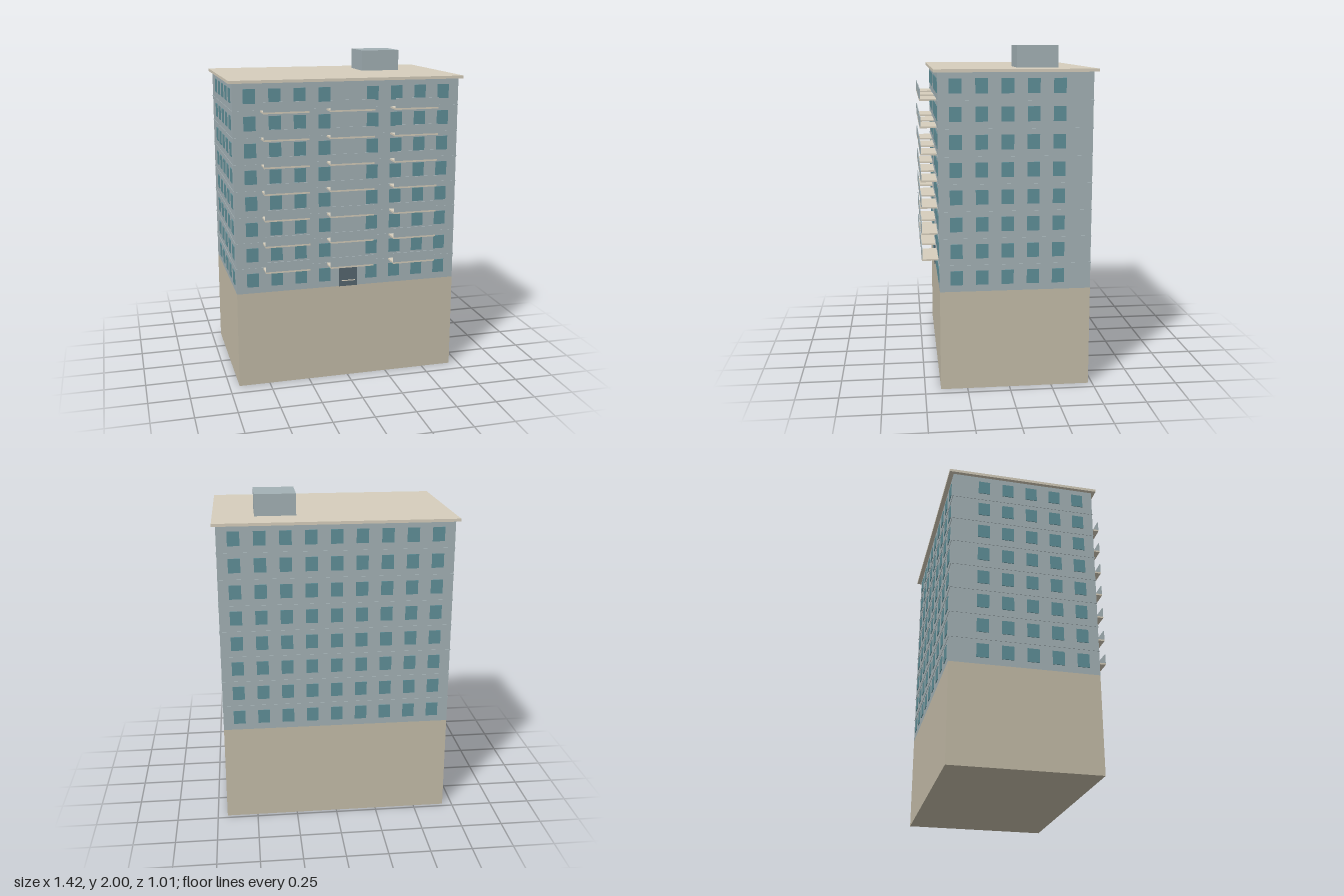
import * as THREE from 'three';

const mat = (color) => new THREE.MeshStandardMaterial({ color });
const M = {
  wall: mat(0xa3b1b5), stone: mat(0xc4bca8), roof: mat(0xd6cebc),
  glass: mat(0x5f8f98), door: mat(0x566770),
};

// Main dimensions
const W = 1.38, FRONT = 0.407, BACK = -0.476;
const D = FRONT - BACK, CZ = (FRONT + BACK) / 2;
const BASE = 0.595, FLOORS = 8, FLOOR_H = 0.1575, TOP = BASE + FLOORS * FLOOR_H;
const PITCH = 0.148, WIN_W = 0.071, WIN_H = 0.084, PROUD = 0.004;

// Box given by its size and the centre of its bottom face
function box(parent, name, material, w, h, d, x, y, z) {
  const mesh = new THREE.Mesh(new THREE.BoxGeometry(w, h, d), material);
  mesh.name = name;
  mesh.position.set(x, y + h / 2, z);
  parent.add(mesh);
  return mesh;
}

function group(parent, name) {
  const g = new THREE.Group();
  g.name = name;
  parent.add(g);
  return g;
}

export function createModel() {
  const model = new THREE.Group();
  model.name = 'apartmentBlock';

  // Plinth, walls, roof slab and rooftop hut
  box(model, 'plinth', M.stone, W, BASE, D, 0, 0, CZ);
  box(model, 'walls', M.wall, W, TOP - BASE, D, 0, BASE, CZ);
  box(model, 'roofSlab', M.roof, 1.424, 1.872 - TOP, 0.934, 0, TOP, CZ - 0.002);
  box(model, 'rooftopHut', M.wall, 0.245, 0.128, 0.245, 0.344, 1.872, -0.188);

  const bands = group(model, 'floorBands');
  const windows = group(model, 'windows');
  const balconies = group(model, 'balconies');

  for (let f = 0; f < FLOORS; f++) {
    const floorY = BASE + f * FLOOR_H;
    const y = floorY + 0.04;

    // Front and back windows; the front has none in the middle bay
    for (let i = -4; i <= 4; i++) {
      const x = i * PITCH;
      if (i !== 0) box(windows, 'frontWindow', M.glass, WIN_W, WIN_H, 2 * PROUD, x, y, FRONT);
      box(windows, 'backWindow', M.glass, WIN_W, WIN_H, 2 * PROUD, x, y, BACK);
    }

    // Side windows
    for (const side of [-1, 1]) {
      for (let i = 0; i < 5; i++) {
        box(windows, 'sideWindow', M.glass, 2 * PROUD, WIN_H, WIN_W, side * W / 2, y, 0.309 - i * PITCH);
      }
    }

    if (f === 0) continue;

    // Thin band at each floor level
    box(bands, 'floorBand', M.wall, W + 0.005, 0.006, D + 0.005, 0, floorY - 0.006, CZ);

    // Three balconies per upper floor: slab with an upright front panel
    for (const x of [-0.394, 0, 0.394]) {
      box(balconies, 'balconySlab', M.roof, 0.268, 0.01, 0.505 - FRONT, x, floorY - 0.01, (0.505 + FRONT) / 2);
      box(balconies, 'balconyPanel', M.wall, 0.268, 0.058, 0.005, x, floorY, 0.5025);
    }
  }

  // Entrance door with a push bar
  const entrance = group(model, 'entrance');
  box(entrance, 'door', M.door, 0.114, 0.142, 0.012, 0, BASE, FRONT);
  box(entrance, 'doorBar', M.roof, 0.086, 0.005, 0.006, 0, 0.628, FRONT + 0.007);

  return model;
}
